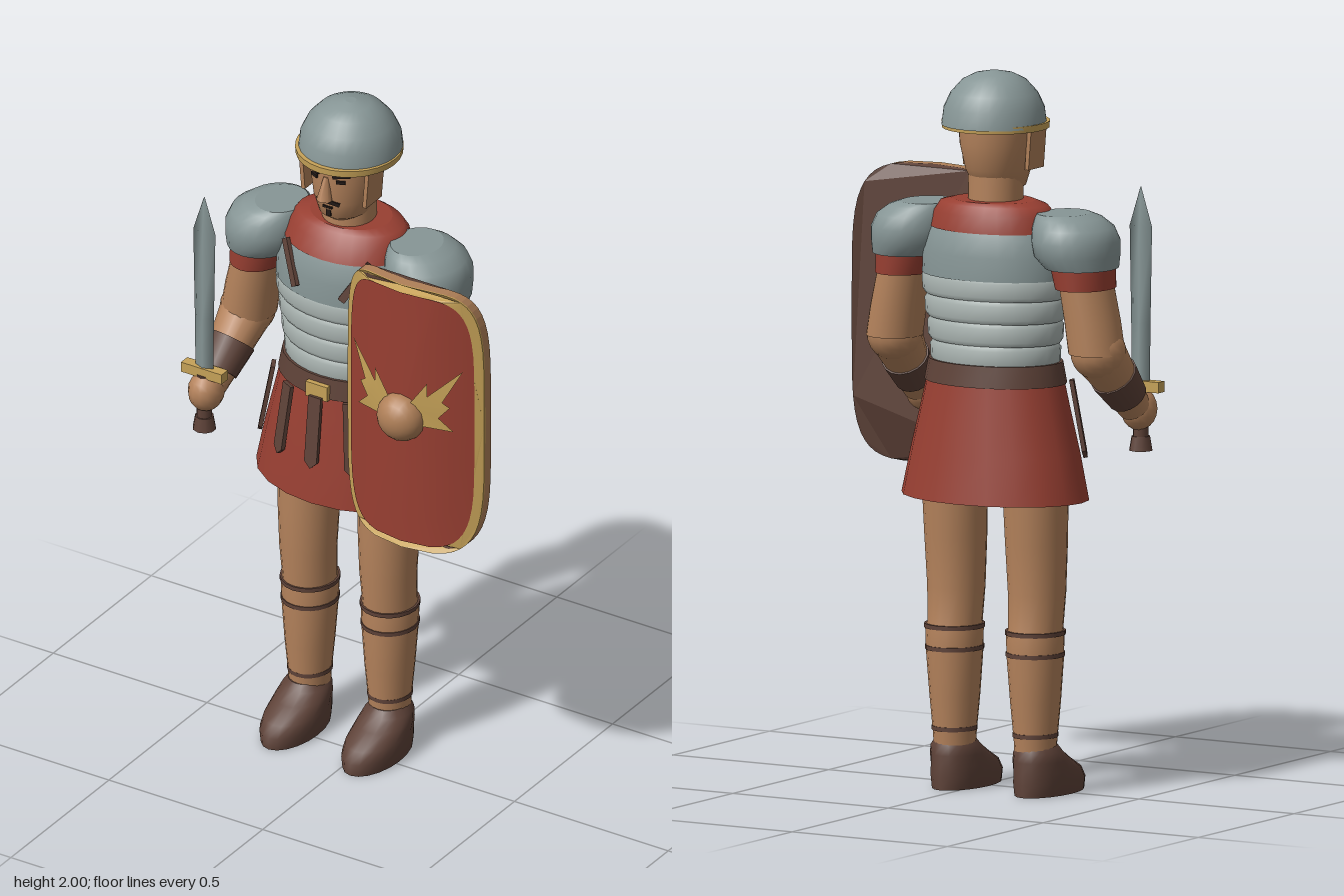
import * as THREE from 'three';

const X0 = -0.088, Z0 = -0.08; // body axis
const mat = (name, color, side = THREE.FrontSide) => {
  const m = new THREE.MeshStandardMaterial({ color, side });
  m.name = name;
  return m;
};
const V = (x, y, z) => new THREE.Vector3(x, y, z);

export function createModel() {
  const skin = mat('skin', 0xb5835c), steel = mat('steel', 0x879696), silver = mat('silver', 0xaab4b1);
  const red = mat('red cloth', 0x983f32, THREE.DoubleSide), brown = mat('leather', 0x5e4238);
  const gold = mat('gold', 0xc6a258, THREE.DoubleSide), dark = mat('dark hair', 0x231a17);
  const copper = mat('copper', 0xb08058);
  const root = new THREE.Group();

  const add = (name, geo, material, x = 0, y = 0, z = 0) => {
    const m = new THREE.Mesh(geo, material);
    m.name = name;
    m.position.set(x, y, z);
    root.add(m);
    return m;
  };

  // Skin over horizontal elliptical rings [y, rx, rz, cz, cx], with flat caps
  const loft = (name, material, rings, n = 24, x = X0) => {
    const pos = [], idx = [];
    const ring = ([y, rx, rz, cz = Z0, cx = 0]) => {
      for (let i = 0; i < n; i++) {
        const a = i / n * Math.PI * 2;
        pos.push(cx + Math.sin(a) * rx, y, cz + Math.cos(a) * rz);
      }
    };
    rings.forEach(ring);
    for (let r = 0; r < rings.length - 1; r++) for (let i = 0; i < n; i++) {
      const a = r * n + i, b = r * n + (i + 1) % n;
      idx.push(a, b, b + n, a, b + n, a + n);
    }
    [rings[0], rings[rings.length - 1]].forEach((r, top) => {
      const s = pos.length / 3;
      ring(r);
      for (let i = 1; i < n - 1; i++) idx.push(s, s + (top ? i : i + 1), s + (top ? i + 1 : i));
    });
    const g = new THREE.BufferGeometry();
    g.setAttribute('position', new THREE.Float32BufferAttribute(pos, 3));
    g.setIndex(idx);
    g.computeVertexNormals();
    return add(name, g, material, x);
  };

  // Tapered cylinder from a to b
  const limb = (name, material, a, b, ra, rb) => {
    const d = b.clone().sub(a);
    const m = add(name, new THREE.CylinderGeometry(rb, ra, d.length(), 16), material);
    m.position.copy(a).add(b).multiplyScalar(0.5);
    m.quaternion.setFromUnitVectors(V(0, 1, 0), d.normalize());
  };

  // Flat strap hanging from top to bottom, facing outward
  const strap = (name, top, bottom, out, w, point) => {
    const up = top.clone().sub(bottom), h = up.length();
    const s = new THREE.Shape([[-w, h], [-w, point], [0, 0], [w, point], [w, h]].map(p => new THREE.Vector2(...p)));
    up.normalize();
    const right = up.clone().cross(out).normalize();
    const m = add(name, new THREE.ExtrudeGeometry(s, { depth: 0.012, bevelEnabled: false }), brown);
    m.quaternion.setFromRotationMatrix(new THREE.Matrix4().makeBasis(right, up, right.clone().cross(up)));
    m.position.copy(bottom);
  };

  // Head, helmet and face
  loft('neck', skin, [[1.58, 0.075, 0.077], [1.72, 0.075, 0.077]]);
  loft('head', skin, [[1.665, 0.045, 0.05, -0.05], [1.68, 0.07, 0.08, -0.06], [1.73, 0.088, 0.1, -0.067],
    [1.8, 0.1, 0.112, -0.073], [1.87, 0.105, 0.113, -0.073]]);
  loft('helmet', steel, [[1.852, 0.145, 0.146, -0.088], [1.9, 0.139, 0.14, -0.088], [1.94, 0.12, 0.121, -0.088],
    [1.975, 0.088, 0.09, -0.088], [1.992, 0.055, 0.055, -0.088], [2, 0.015, 0.015, -0.088]], 28);
  loft('helmetBrim', gold, [[1.843, 0.147, 0.149], [1.862, 0.149, 0.15]], 28);
  const nose = add('nose', new THREE.CylinderGeometry(0.007, 0.022, 0.07, 6), skin, X0, 1.782, 0.043);
  nose.rotation.x = -0.15;
  for (const s of [-1, 1]) {
    const face = (name, dx, y, z, w, h, tilt) => {
      const m = add(name, new THREE.BoxGeometry(w, h, 0.009), dark, X0 + s * dx, y, z);
      m.rotation.set(0, s * 0.42, s * tilt);
    };
    face('eyebrow', 0.045, 1.828, 0.031, 0.05, 0.01, 0.12);
    face('eye', 0.042, 1.808, 0.03, 0.026, 0.009, 0);
    face('moustache', 0.019, 1.737, 0.032, 0.038, 0.011, -0.3);
    const guard = add('cheekGuard', new THREE.BoxGeometry(0.012, 0.12, 0.08), copper, X0 + s * 0.104, 1.79, -0.04);
    guard.rotation.z = s * -0.08;
  }
  add('mouth', new THREE.BoxGeometry(0.03, 0.006, 0.009), dark, X0, 1.719, 0.03);
  add('chinBeard', new THREE.BoxGeometry(0.014, 0.02, 0.009), dark, X0, 1.698, 0.023);

  // Torso armour
  for (let i = 0; i < 4; i++) {
    const y = 1.19 + 0.063 * i, r = 0.189 + 0.009 * i, d = 0.146 + 0.003 * i;
    loft('torsoBand', silver, [[y, r - 0.007, d - 0.007], [y + 0.012, r, d], [y + 0.05, r + 0.002, d + 0.001],
      [y + 0.066, r - 0.01, d - 0.01]], 28);
  }
  loft('chestPlate', steel, [[1.435, 0.217, 0.156], [1.5, 0.215, 0.155], [1.55, 0.198, 0.145], [1.585, 0.18, 0.13]], 28);
  loft('collar', red, [[1.565, 0.193, 0.142], [1.61, 0.178, 0.128, -0.086], [1.635, 0.16, 0.108, -0.09],
    [1.645, 0.12, 0.095, -0.09]], 28);

  // Skirt, belt and hanging straps
  loft('skirt', red, [[0.82, 0.278, 0.199, -0.082], [0.95, 0.25, 0.183], [1.08, 0.218, 0.164], [1.19, 0.192, 0.149]], 20);
  loft('belt', brown, [[1.14, 0.208, 0.16], [1.2, 0.196, 0.152]], 28);
  add('buckle', new THREE.BoxGeometry(0.07, 0.045, 0.015), gold, X0, 1.16, 0.081);
  for (const a of [-1.08, -0.47, 0, 0.47, 1.08]) {
    const at = (rx, rz, y) => V(X0 + Math.sin(a) * rx, y, Z0 + Math.cos(a) * rz);
    strap('skirtStrap', at(0.215, 0.166, 1.145), at(0.258, 0.19, 0.93), V(Math.sin(a), 0, Math.cos(a)), 0.02, 0.02);
  }

  for (const s of [-1, 1]) {
    const P = (dx, y, z) => V(X0 + s * dx, y, z);
    strap('chestStrap', P(0.135, 1.575, 0.024), P(0.072, 1.465, 0.073), V(s * 0.4, 0.2, 1), 0.011, 0.001);

    // Shoulder and arm
    loft('shoulderPad', steel, [[1.475, 0.098, 0.112, Z0, s * 0.278], [1.51, 0.115, 0.13, Z0, s * 0.262],
      [1.55, 0.119, 0.133, Z0, s * 0.258], [1.585, 0.111, 0.122, Z0, s * 0.25],
      [1.61, 0.091, 0.102, Z0, s * 0.235], [1.622, 0.07, 0.082, Z0, s * 0.22]]);
    loft('sleeve', red, [[1.42, 0.078, 0.1, Z0, s * 0.29], [1.5, 0.088, 0.104, Z0, s * 0.278]]);
    loft('upperArm', skin, [[1.24, 0.077, 0.082, -0.08, s * 0.326], [1.33, 0.075, 0.085, Z0, s * 0.312],
      [1.45, 0.07, 0.088, Z0, s * 0.288]]);
    const elbow = P(0.328, 1.245, -0.077), hand = P(0.347, 1.07, 0.085);
    add('elbow', new THREE.SphereGeometry(0.078, 16, 12), skin, ...elbow.toArray());
    limb('forearm', skin, elbow, hand, 0.076, 0.045);
    limb('bracer', brown, elbow.clone().lerp(hand, 0.42), elbow.clone().lerp(hand, 0.8), 0.068, 0.056);
    const fist = add('hand', new THREE.SphereGeometry(0.05, 14, 10), skin, ...P(0.347, 1.065, 0.105).toArray());
    fist.scale.set(1, 1.2, 1.1);

    // Leg, wraps and shoe
    const lx = X0 + s * 0.13;
    loft('leg', skin, [[0.09, 0.056, 0.06, -0.083], [0.15, 0.058, 0.064, -0.083], [0.26, 0.068, 0.075, -0.083],
      [0.38, 0.077, 0.083, -0.084], [0.455, 0.079, 0.085, -0.085], [0.46, 0.074, 0.08, -0.082],
      [0.56, 0.079, 0.083, -0.075], [0.7, 0.085, 0.09, -0.078], [0.9, 0.091, 0.097, -0.085]], 20, lx);
    for (const [y, r] of [[0.452, 0.082], [0.392, 0.08], [0.168, 0.0615]])
      loft('legBand', brown, [[y - 0.006, r, r + 0.006, -0.084], [y + 0.006, r, r + 0.006, -0.084]], 20, lx);
    loft('shoe', brown, [[0, 0.072, 0.14, -0.016], [0.035, 0.078, 0.141, -0.016], [0.065, 0.077, 0.128, -0.027],
      [0.095, 0.073, 0.096, -0.056], [0.12, 0.066, 0.074, -0.075], [0.14, 0.052, 0.06, -0.077]], 20, lx + s * 0.003);
  }

  // Sword held upright in the right hand
  const sx = -0.437, sz = 0.112;
  add('swordGrip', new THREE.CylinderGeometry(0.022, 0.022, 0.15, 10), brown, sx, 1.045, sz);
  add('swordPommel', new THREE.CylinderGeometry(0.026, 0.033, 0.04, 10), brown, sx, 0.968, sz);
  add('swordGuard', new THREE.BoxGeometry(0.132, 0.03, 0.032), gold, sx, 1.128, sz);
  loft('swordBlade', steel, [[1.14, 0.029, 0.012, sz], [1.3, 0.031, 0.011, sz], [1.57, 0.036, 0.01, sz],
    [1.68, 0.001, 0.001, sz]], 4, sx);

  // Curved shield on the left arm
  const cx = 0.272, cy = 1.26, W = 0.222, H = 0.415;
  const outline = k => Array.from({ length: 48 }, (_, i) => {
    const a = i / 48 * Math.PI * 2, f = v => Math.sign(v) * Math.pow(Math.abs(v), 0.42);
    return new THREE.Vector2((W - k) * f(Math.cos(a)), (H - k) * f(Math.sin(a)));
  });
  const bend = geo => {
    const p = geo.attributes.position;
    for (let i = 0; i < p.count; i++) p.setZ(i, p.getZ(i) + 0.185 - 0.075 * (p.getX(i) / W) ** 2);
    geo.computeVertexNormals();
    return geo;
  };
  const extrude = (shape, depth) => new THREE.ExtrudeGeometry(shape, { depth, bevelEnabled: false });
  add('shieldBoard', bend(extrude(new THREE.Shape(outline(0)), 0.03)), [brown, copper], cx, cy);
  const rim = new THREE.Shape(outline(0));
  rim.holes.push(new THREE.Path(outline(0.035)));
  add('shieldRim', bend(extrude(rim, 0.006)), gold, cx, cy, 0.029);

  // Red shield face: concentric rings around the centre
  const edge = outline(0.021), pos = [0, 0, 0], idx = [], n = edge.length, R = 5;
  for (let r = 1; r <= R; r++) edge.forEach(p => pos.push(p.x * r / R, p.y * r / R, 0));
  for (let i = 0; i < n; i++) {
    const j = (i + 1) % n;
    idx.push(0, 1 + i, 1 + j);
    for (let r = 0; r < R - 1; r++) {
      const a = 1 + r * n + i, b = 1 + r * n + j;
      idx.push(a, a + n, b + n, a, b + n, b);
    }
  }
  const face = new THREE.BufferGeometry();
  face.setAttribute('position', new THREE.Float32BufferAttribute(pos, 3));
  face.setIndex(idx);
  add('shieldFace', bend(face), red, cx, cy, 0.038);

  // Jagged golden wings and central boss
  const wing = [[0.178, 0.178], [0.085, 0.088], [0.085, 0.13], [0.03, 0.05], [0.04, -0.01],
    [0.155, -0.015], [0.115, 0.025], [0.145, 0.06], [0.125, 0.075]];
  for (const s of [-1, 1]) {
    const shape = new THREE.Shape(wing.map(([x, y]) => new THREE.Vector2(s * x, y)));
    add('shieldWing', bend(new THREE.ShapeGeometry(shape)), gold, cx, cy, 0.047);
  }
  const boss = add('shieldBoss', new THREE.SphereGeometry(0.072, 16, 6, 0, Math.PI * 2, 0, Math.PI / 2), copper, cx, cy, 0.217);
  boss.rotation.x = Math.PI / 2;
  boss.scale.y = 0.88;
  return root;
}
